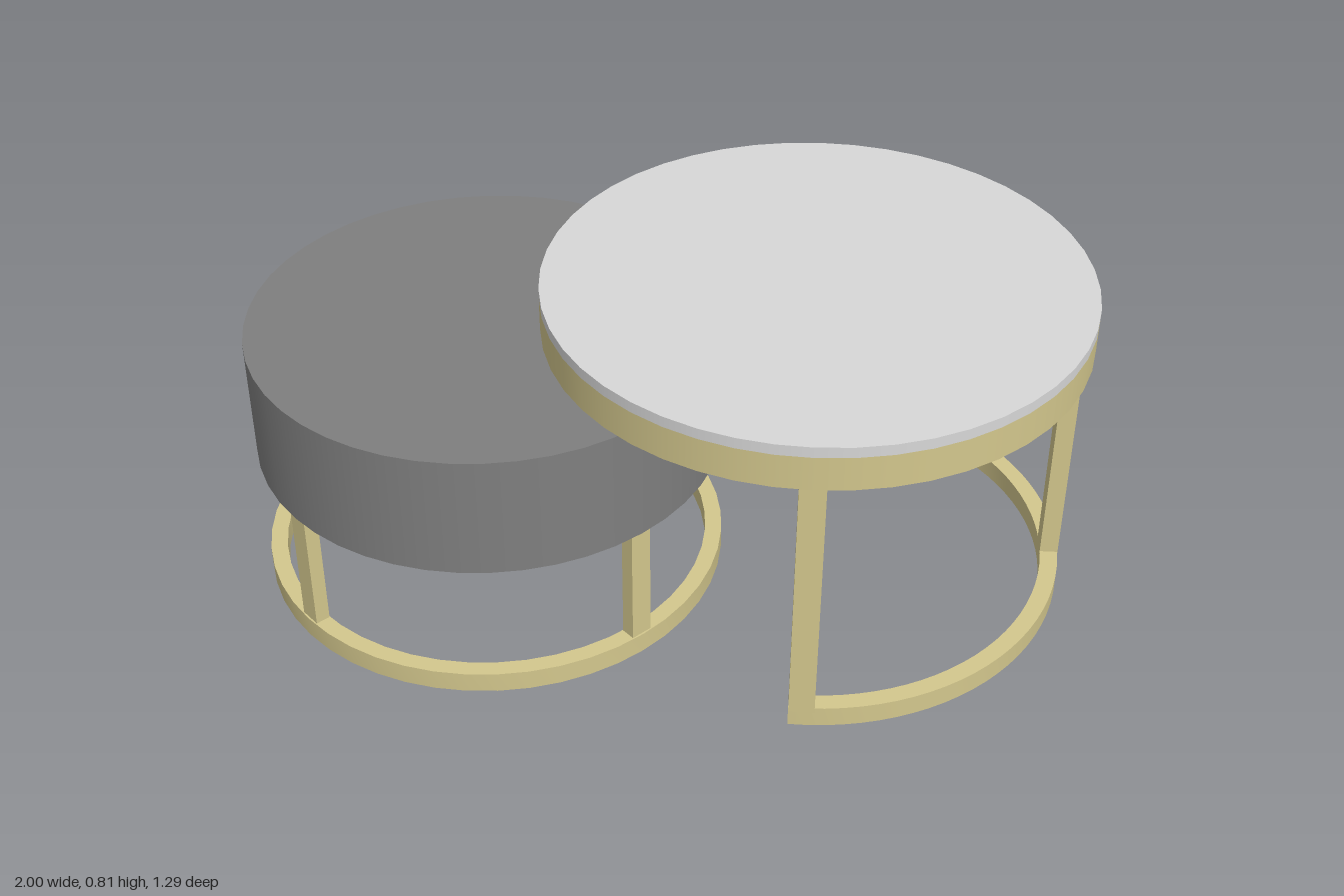
import * as THREE from 'three';
import { toCreasedNormals } from 'three/addons/utils/BufferGeometryUtils.js';

const SEGMENTS = 48;
const DEG = Math.PI / 180;

const gold = new THREE.MeshStandardMaterial({ color: 0xd3c78d });
gold.name = 'brushed gold';
const charcoal = new THREE.MeshStandardMaterial({ color: 0x7f7f7f });
charcoal.name = 'charcoal lacquer';
const stone = new THREE.MeshStandardMaterial({ color: 0xd8d8d8 });
stone.name = 'pale stone';

function add(parent, name, geometry, material, x = 0, y = 0, z = 0) {
  const mesh = new THREE.Mesh(geometry, material);
  mesh.name = name;
  mesh.position.set(x, y, z);
  parent.add(mesh);
  return mesh;
}

// Solid disc standing between two heights
function disc(parent, name, radius, y0, y1, material) {
  return add(parent, name, new THREE.CylinderGeometry(radius, radius, y1 - y0, SEGMENTS), material, 0, (y0 + y1) / 2);
}

// Flat-lying ring, or an arc of one; angles run from +x towards -z
function ringGeometry(inner, outer, height, from = 0, to = 2 * Math.PI) {
  const shape = new THREE.Shape();
  shape.absarc(0, 0, outer, from, to, false);
  if (to - from > 6.28) {
    const hole = new THREE.Path();
    hole.absarc(0, 0, inner, 0, 2 * Math.PI, true);
    shape.holes.push(hole);
  } else {
    shape.absarc(0, 0, inner, to, from, true);
    shape.closePath();
  }
  const geometry = new THREE.ExtrudeGeometry(shape, {
    depth: height, bevelEnabled: false, curveSegments: SEGMENTS / 2,
  });
  geometry.rotateX(-Math.PI / 2);
  return toCreasedNormals(geometry, 30 * DEG);
}

// Upright leg at an angle round the table, broad side facing outwards
function leg(parent, radius, angle, depth, width, y0, y1) {
  const mesh = add(parent, 'leg', new THREE.BoxGeometry(depth, y1 - y0, width), gold,
    radius * Math.cos(angle), (y0 + y1) / 2, -radius * Math.sin(angle));
  mesh.rotation.y = angle;
}

function createTallTable() {
  const table = new THREE.Group();
  table.name = 'tallTable';
  table.position.x = 0.352;

  disc(table, 'stoneTop', 0.646, 0.785, 0.812, stone);
  disc(table, 'topFrame', 0.646, 0.7, 0.785, gold);

  // Open base ring with a leg at each end and one in the middle
  add(table, 'openBaseRing', ringGeometry(0.585, 0.628, 0.052, -92.8 * DEG, 92.8 * DEG), gold);
  for (const angle of [-90, 0, 90]) leg(table, 0.606, angle * DEG, 0.044, 0.06, 0.04, 0.71);
  return table;
}

function createDrumTable() {
  const table = new THREE.Group();
  table.name = 'drumTable';
  table.position.x = -0.43;

  disc(table, 'drum', 0.569, 0.362, 0.67, charcoal);

  // Curved drawer front, slightly proud of the drum at the back
  add(table, 'drawerFront', ringGeometry(0.56, 0.576, 0.293, 57 * DEG, 123 * DEG), charcoal, 0, 0.362);

  // Closed base ring and four diagonal legs
  add(table, 'baseRing', ringGeometry(0.528, 0.569, 0.052), gold);
  for (let i = 0; i < 4; i++) leg(table, 0.546, (45 + 90 * i) * DEG, 0.036, 0.055, 0.04, 0.37);
  return table;
}

export function createModel() {
  const model = new THREE.Group();
  model.name = 'nestingCoffeeTables';
  model.add(createTallTable(), createDrumTable());
  return model;
}
